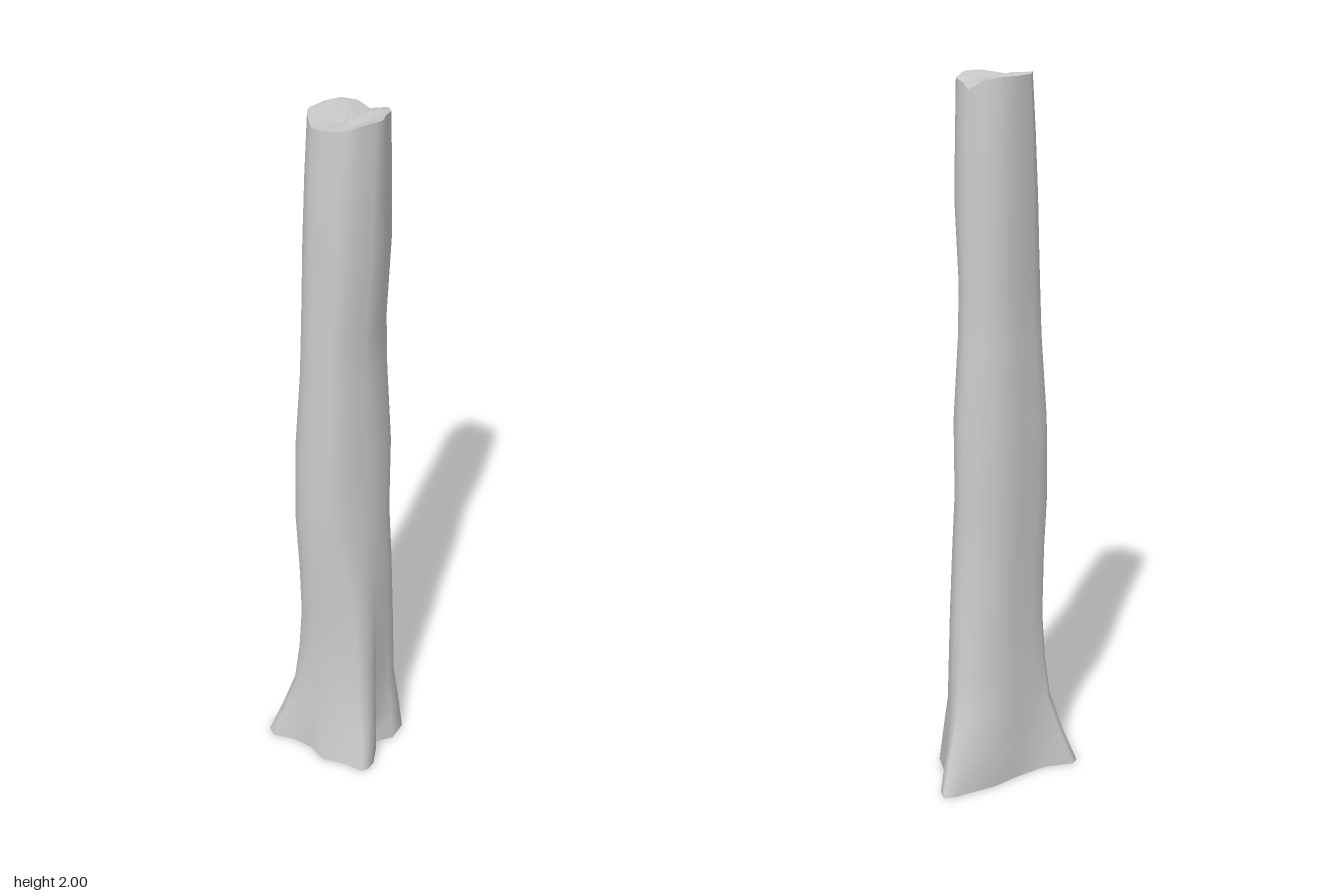
import * as THREE from 'three';

// Outline of the flared roots at the ground, as x, z pairs
const ROOTS = [
  [0.07, -0.21], [0.095, -0.18], [0.108, -0.115], [0.185, -0.02], [0.178, 0.04], [0.128, 0.085], [0.15, 0.11],
  [0.163, 0.16], [0.158, 0.19], [0.145, 0.205], [0.085, 0.2], [0.015, 0.208], [-0.035, 0.178], [-0.095, 0.168],
  [-0.165, 0.177], [-0.188, 0.155], [-0.188, 0.13], [-0.12, 0.075], [-0.075, 0], [-0.035, -0.085], [0.04, -0.185],
];
// Matching outline of the trunk at middle height, a rounded triangle
const MIDDLE = [
  [0.06, -0.085], [0.08, -0.08], [0.1, -0.065], [0.13, -0.015], [0.135, 0.03], [0.12, 0.075], [0.105, 0.1],
  [0.09, 0.125], [0.075, 0.145], [0.055, 0.165], [0.035, 0.175], [0.005, 0.178], [-0.03, 0.175], [-0.06, 0.165],
  [-0.085, 0.145], [-0.097, 0.12], [-0.1, 0.1], [-0.092, 0.07], [-0.068, 0], [-0.035, -0.07], [0.025, -0.084],
];
// Matching outline of the broken top
const TOP = [
  [0.05, -0.067], [0.07, -0.06], [0.09, -0.05], [0.108, -0.025], [0.118, 0.03], [0.125, 0.07], [0.115, 0.088],
  [0.104, 0.105], [0.092, 0.122], [0.075, 0.14], [0.05, 0.147], [0.01, 0.143], [-0.025, 0.132], [-0.04, 0.115],
  [-0.05, 0.1], [-0.06, 0.08], [-0.065, 0.065], [-0.068, 0.05], [-0.055, -0.01], [-0.03, -0.048], [0.005, -0.066],
];
const N = TOP.length;

// Height, root influence, top influence, then trunk extents: xMin, xMax, zMin, zMax
const RINGS = [
  [0, 1, 0, -0.1, 0.145, -0.12, 0.17],
  [0.1, 0.6, 0, -0.1, 0.145, -0.12, 0.17],
  [0.22, 0.2, 0, -0.098, 0.145, -0.105, 0.17],
  [0.34, 0.1, 0, -0.093, 0.145, -0.102, 0.166],
  [0.48, 0.04, 0, -0.09, 0.144, -0.096, 0.164],
  [0.68, 0.002, 0, -0.093, 0.142, -0.084, 0.175],
  [0.85, 0, 0, -0.1, 0.133, -0.083, 0.178],
  [1.07, 0, 0.1, -0.098, 0.133, -0.087, 0.178],
  [1.3, 0, 0.3, -0.083, 0.122, -0.074, 0.173],
  [1.45, 0, 0.45, -0.08, 0.118, -0.073, 0.17],
  [1.68, 0, 0.65, -0.077, 0.13, -0.073, 0.166],
  [1.85, 0, 0.85, -0.073, 0.127, -0.07, 0.16],
  [2, 0, 1, -0.068, 0.124, -0.066, 0.15],
];

// Ridges of the broken top, running across it at a slant and sinking at the back
const BREAK = [[-0.08, 1.985], [-0.035, 2], [0.005, 1.985], [0.035, 1.966], [0.06, 1.992], [0.1, 1.988], [0.135, 2], [0.2, 1.99]];
function breakHeight(x, z) {
  const u = THREE.MathUtils.clamp(x + 0.28 * z, -0.079, 0.199);
  const i = BREAK.findIndex((p) => p[0] > u);
  const [a, b] = [BREAK[i - 1], BREAK[i]];
  return THREE.MathUtils.mapLinear(u, a[0], b[0], a[1], b[1]) + 0.15 * Math.min(z, 0);
}

function section([y, w, t, x0, x1, z0, z1]) {
  const { lerp, mapLinear } = THREE.MathUtils;
  return TOP.map(([tx, tz], i) => {
    const [mx, mz] = MIDDLE[i];
    const x = lerp(mapLinear(mx, -0.1, 0.135, x0, x1), mapLinear(tx, -0.068, 0.125, x0, x1), t);
    const z = lerp(mapLinear(mz, -0.085, 0.178, z0, z1), mapLinear(tz, -0.067, 0.147, z0, z1), t);
    // The front left root leaves a ridge and groove that climb the trunk
    const k = i >= 5 && i <= 9 ? Math.pow(w, 0.25) : w;
    const px = lerp(x, ROOTS[i][0], k);
    const pz = lerp(z, ROOTS[i][1], w);
    return [px, y === 2 ? breakHeight(px, pz) : y, pz];
  });
}

// Joins closed loops, listed from low to high (or rim to centre), into one skin
function loft(loops) {
  const index = [];
  for (let r = 0; r < loops.length - 1; r++) {
    for (let i = 0; i < N; i++) {
      const a = r * N + i, b = r * N + (i + 1) % N;
      index.push(a, a + N, b, b, a + N, b + N);
    }
  }
  const geometry = new THREE.BufferGeometry();
  geometry.setAttribute('position', new THREE.Float32BufferAttribute(loops.flat(2), 3));
  geometry.setIndex(index);
  geometry.computeVertexNormals();
  return geometry;
}

// Shrinks a loop towards a centre, with the height given by a rule
const shrink = (loop, s, cx, cz, height) => loop.map(([x, , z]) => {
  const px = cx + (x - cx) * s, pz = cz + (z - cz) * s;
  return [px, height(px, pz), pz];
});

export function createModel() {
  const group = new THREE.Group();
  group.name = 'treeTrunk';
  const material = new THREE.MeshStandardMaterial({ color: 0xcccccc, roughness: 0.9 });
  const add = (name, geometry) => {
    const mesh = new THREE.Mesh(geometry, material);
    mesh.name = name;
    group.add(mesh);
  };

  // Bark with flared roots
  const loops = RINGS.map(section);
  add('bark', loft(loops));

  // Broken top surface
  const rim = loops[loops.length - 1];
  const steps = [1, 0.88, 0.76, 0.64, 0.52, 0.4, 0.28, 0.16, 0.001];
  add('brokenTop', loft(steps.map((s) => shrink(rim, s, 0.03, 0.04, breakHeight))));

  // Flat underside
  const ground = () => 0;
  add('underside', loft([shrink(loops[0], 0.001, 0.03, 0.06, ground), loops[0]]));
  return group;
}
